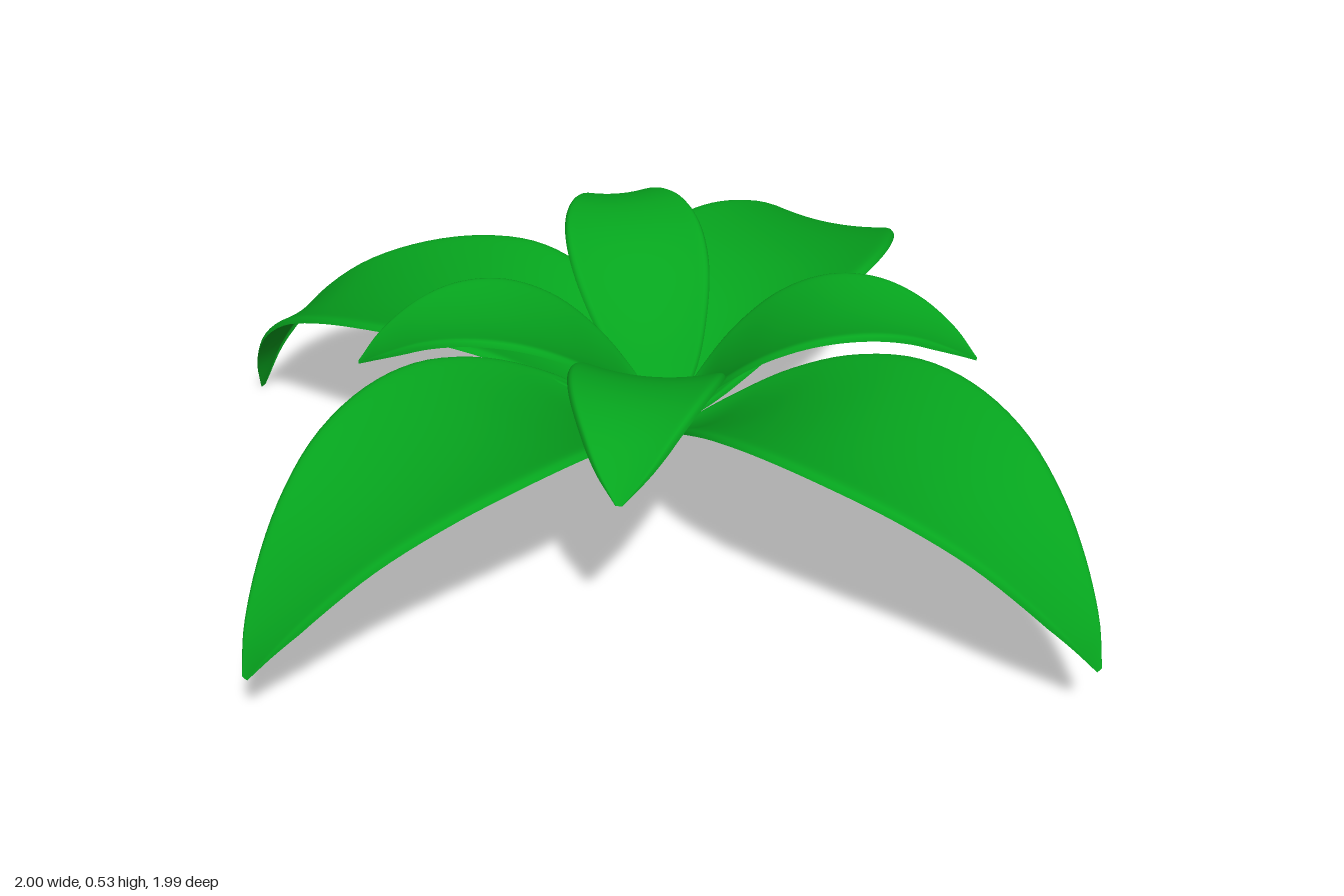
import * as THREE from 'three';

const ROWS = 44, COLS = 32;
const HUB = new THREE.Vector3(0.07, 0, -0.06);

// Midrib stations: distance from the hub, height, half width
const LARGE = [[0, 0.18, 0.005], [0.1, 0.245, 0.1], [0.2, 0.31, 0.17], [0.32, 0.37, 0.22], [0.46, 0.41, 0.248],
  [0.6, 0.418, 0.243], [0.75, 0.395, 0.208], [0.88, 0.34, 0.154], [0.98, 0.265, 0.1], [1.05, 0.19, 0.05], [1.09, 0.125, 0.008]];
const DROOPING = [[0, 0.18, 0.005], [0.1, 0.242, 0.1], [0.2, 0.305, 0.17], [0.32, 0.355, 0.22], [0.46, 0.377, 0.248],
  [0.6, 0.37, 0.243], [0.75, 0.338, 0.21], [0.88, 0.285, 0.163], [0.98, 0.205, 0.113], [1.05, 0.1, 0.055], [1.08, 0, 0.008]];
const SMALL = [[0, 0.2, 0.005], [0.06, 0.28, 0.08], [0.13, 0.368, 0.122], [0.22, 0.448, 0.148], [0.32, 0.498, 0.15],
  [0.42, 0.514, 0.131], [0.51, 0.5, 0.097], [0.59, 0.46, 0.052], [0.64, 0.42, 0.006]];

// Cupped leaf blade swept along its arching midrib; bow swings the middle sideways
function leafGeometry(stations, tipX, tipZ, bow) {
  const rib = new THREE.CatmullRomCurve3(stations.map(p => new THREE.Vector3(...p)));
  const out = new THREE.Vector3(tipX - HUB.x, 0, tipZ - HUB.z);
  const stretch = out.length() / stations[stations.length - 1][0];
  out.normalize();
  const side = new THREE.Vector3(-out.z, 0, out.x);
  const positions = [], index = [];
  for (let i = 0; i <= ROWS; i++) {
    const t = i / ROWS;
    const p = rib.getPoint(t);
    const half = Math.max(p.z, 0);
    const rim = 0.016 * Math.min(1, half / 0.08);
    for (let j = 0; j <= COLS; j++) {
      // columns gather towards the rims
      const u = Math.sin((j / COLS - 0.5) * Math.PI);
      // edges rise from the midrib, then roll over at the rim
      const lift = half * (0.13 + 0.35 * (1 - t) ** 4) * u * u - rim * u ** 30;
      const v = HUB.clone().addScaledVector(out, p.x * stretch)
        .addScaledVector(side, half * u + bow * Math.sin(Math.PI * t));
      positions.push(v.x, Math.max(p.y + lift, 0), v.z);
      if (i < ROWS && j < COLS) {
        const a = i * (COLS + 1) + j, b = a + COLS + 1;
        index.push(a, a + 1, b, a + 1, b + 1, b);
      }
    }
  }
  const geometry = new THREE.BufferGeometry();
  geometry.setAttribute('position', new THREE.Float32BufferAttribute(positions, 3));
  geometry.setIndex(index);
  geometry.computeVertexNormals();
  return geometry;
}

export function createModel() {
  const group = new THREE.Group();
  group.name = 'leafRosette';
  const green = new THREE.MeshStandardMaterial({ color: 0x06a51e, side: THREE.DoubleSide });

  // name, midrib, tip x, tip z, bow
  const leaves = [
    ['backRightLargeLeaf', DROOPING, -0.475, -0.99, 0.018],
    ['backLeftLargeLeaf', DROOPING, 0.99, -0.63, 0.018],
    ['rightLargeLeaf', LARGE, -1, 0.16, 0],
    ['frontLargeLeaf', LARGE, 0.35, 0.99, 0],
    ['backSmallLeaf', SMALL, 0.31, -0.655, -0.015],
    ['rightSmallLeaf', SMALL, -0.52, -0.305, -0.015],
    ['frontRightSmallLeaf', SMALL, -0.345, 0.42, 0],
    ['frontLeftSmallLeaf', SMALL, 0.55, 0.36, 0],
  ];
  for (const [name, stations, x, z, bow] of leaves) {
    const leaf = new THREE.Mesh(leafGeometry(stations, x, z, bow), green);
    leaf.name = name;
    group.add(leaf);
  }
  return group;
}
